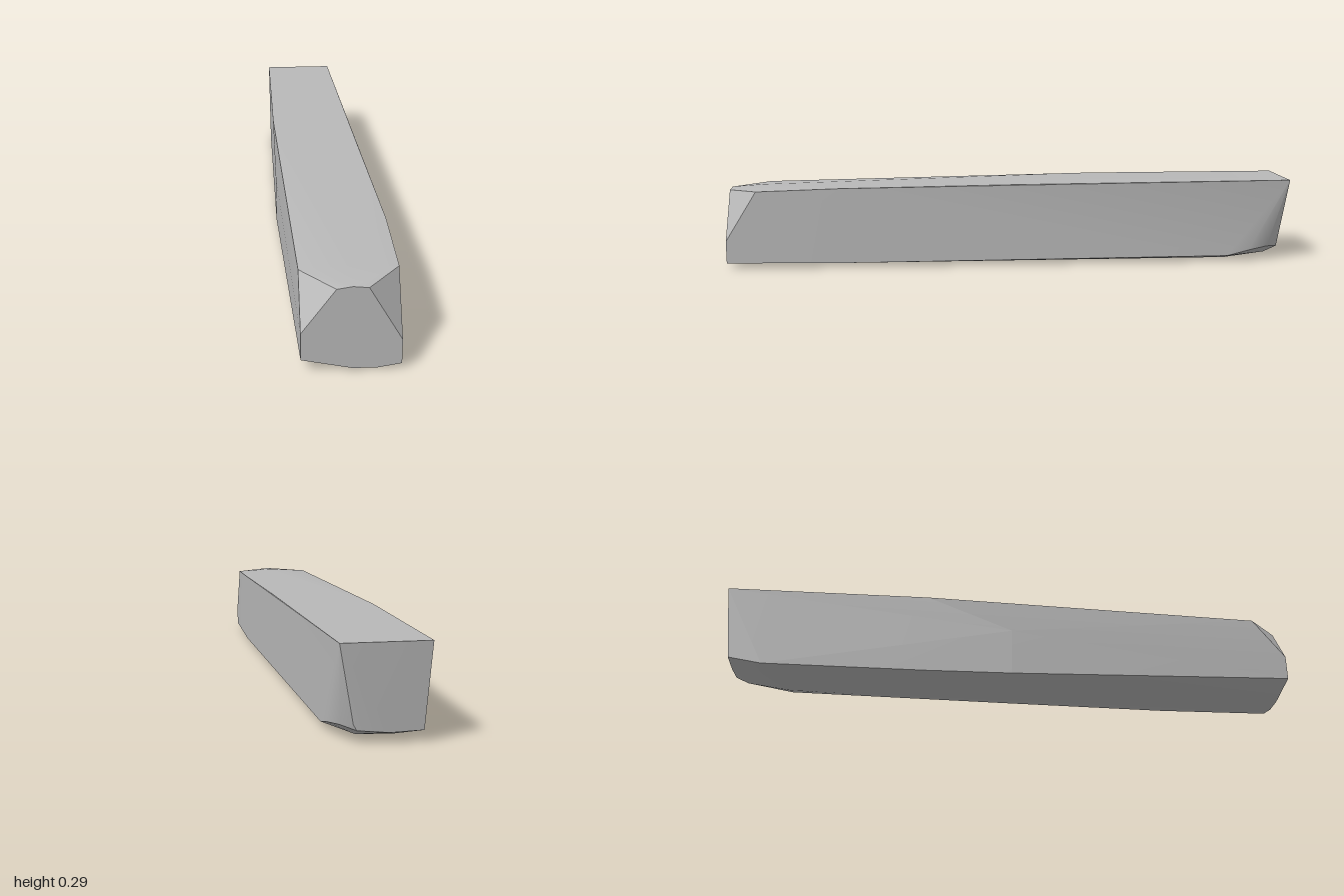
import * as THREE from 'three';
import { ConvexGeometry } from 'three/addons/geometries/ConvexGeometry.js';
import { toCreasedNormals } from 'three/addons/utils/BufferGeometryUtils.js';

// Outline of the block at stations along z; each section lists [x, y] corners.
const sections = [
  // back end: top edge overhangs, lower corners are tucked in
  { z: -1, pts: [[-0.163, 0.293], [0.1, 0.293]] },
  { z: -0.975, pts: [[-0.148, 0.035], [0.055, 0.06], [0.045, 0.042], [-0.05, 0.032]] },
  { z: -0.93, pts: [[0.085, 0.05], [0.04, 0.02], [-0.07, 0.016]] },
  { z: -0.86, pts: [[-0.163, 0.01], [0.106, 0.04]] },
  { z: -0.78, pts: [[0.11, 0.02], [0.05, 0.002], [-0.06, 0.002]] },
  // long body
  { z: -0.3, pts: [[-0.163, 0.289], [-0.163, 0.005]] },
  { z: 0, pts: [[-0.163, 0.17], [-0.163, 0.006], [0.137, 0.287], [0.137, 0.016], [0.06, 0], [-0.02, 0]] },
  { z: 0.6, pts: [[0.162, 0.28], [0.162, 0.016], [0.09, 0.002], [0.02, 0.002]] },
  // front end: two upper corners are cut off
  { z: 0.89, pts: [[-0.125, 0.268], [0.162, 0.27], [0.02, 0.277]] },
  { z: 1, pts: [[-0.125, 0.04], [-0.125, 0.125], [-0.025, 0.262], [0.02, 0.269], [0.065, 0.264],
    [0.162, 0.095], [0.162, 0.018], [0.09, 0.006], [0.02, 0.008]] },
];

export function createModel() {
  const model = new THREE.Group();
  model.name = 'stoneBlock';

  const stone = new THREE.MeshStandardMaterial({ color: 0xb8b8b8 });
  stone.name = 'grey stone';

  const points = sections.flatMap(({ z, pts }) => pts.map(([x, y]) => new THREE.Vector3(x, y, z)));
  const block = new THREE.Mesh(toCreasedNormals(new ConvexGeometry(points), 0.5), stone);
  block.name = 'chippedBeam';
  model.add(block);

  return model;
}
